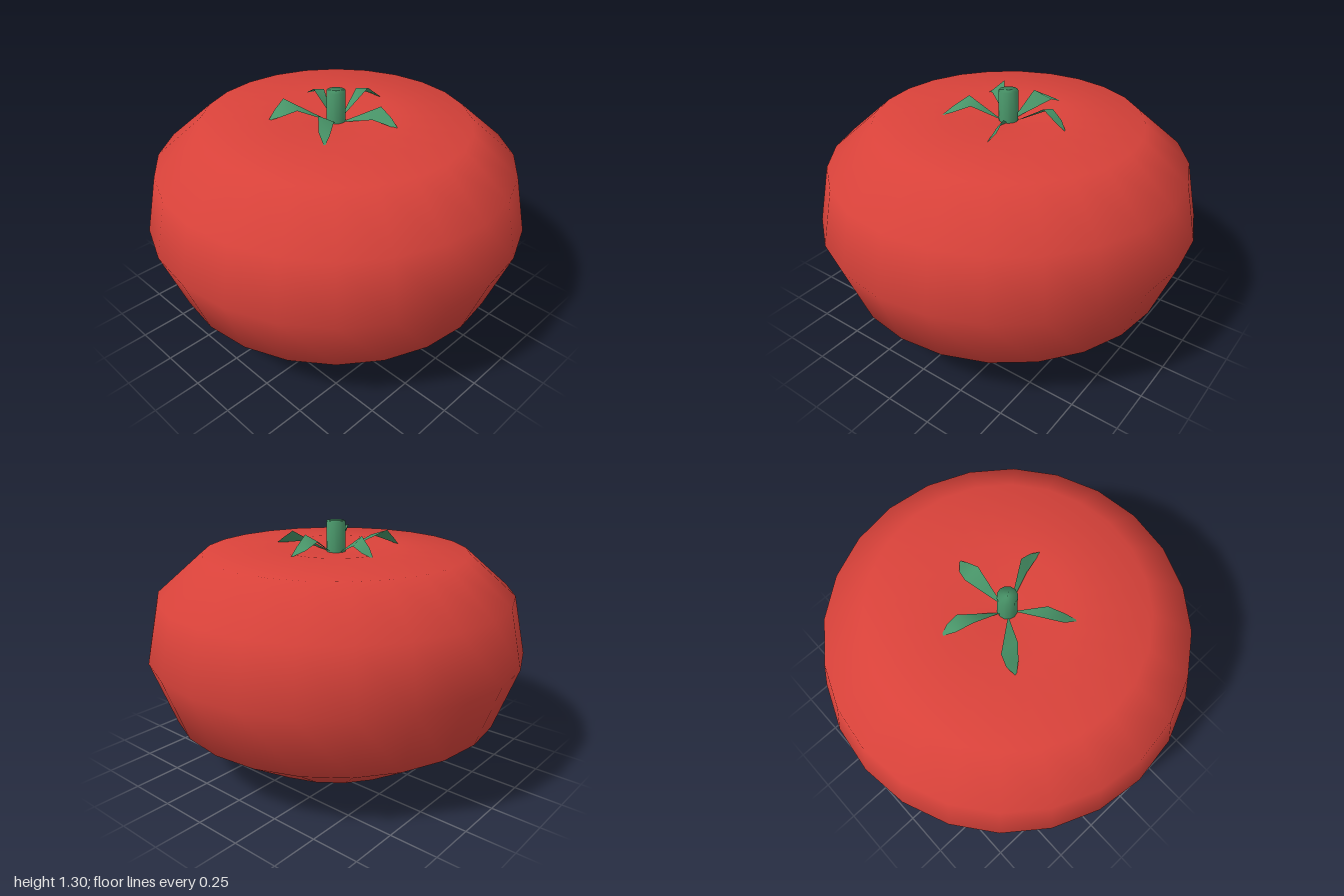
import * as THREE from 'three';

const red = new THREE.MeshStandardMaterial({ color: 0xd9423a });
red.name = 'tomatoRed';
const green = new THREE.MeshStandardMaterial({ color: 0x489468, side: THREE.DoubleSide });
green.name = 'stemGreen';

// Smooth solid of revolution from [radius, height] pairs, bottom to top
function lathe(name, profile, sides, material) {
  const points = profile.map(([r, y]) => new THREE.Vector2(r, y));
  const mesh = new THREE.Mesh(new THREE.LatheGeometry(points, sides), material);
  mesh.name = name;
  return mesh;
}

// Arched blade along +x; a and b are its two widest edge points [reach, side, height]
function sepal(a, b) {
  const root = [0.03, 0, 1.14];
  const tip = [0.345, 0, 1.165];
  const mix = (p, q, t) => p.map((v, i) => v + (q[i] - v) * t);
  const bulge = (p, t, f) => {
    const m = mix(p, tip, t);
    return [m[0], p[1] * f, m[2]];
  };
  const rows = [
    [mix(root, a, 0.1), mix(root, b, 0.1)],
    [mix(root, a, 0.5), mix(root, b, 0.5)],
    [a, b],
    [bulge(a, 0.55, 0.7), bulge(b, 0.55, 0.7)],
    [tip, tip],
  ];
  const positions = [];
  const index = [];
  rows.forEach((row, i) => {
    row.forEach(([r, s, y]) => positions.push(r, y, -s));
    if (i < rows.length - 1) {
      const k = i * 2;
      index.push(k, k + 1, k + 2);
      if (i < rows.length - 2) index.push(k + 1, k + 3, k + 2);
    }
  });
  const geometry = new THREE.BufferGeometry();
  geometry.setAttribute('position', new THREE.Float32BufferAttribute(positions, 3));
  geometry.setIndex(index);
  geometry.computeVertexNormals();
  return geometry;
}

export function createModel() {
  const model = new THREE.Group();
  model.name = 'tomato';

  // Squat fruit with a shallow dimple around the stem
  model.add(lathe('fruit', [
    [0, 0], [0.11, 0], [0.545, 0.08], [0.88, 0.305], [1, 0.64],
    [0.935, 0.945], [0.695, 1.153], [0.31, 1.172], [0, 1.14],
  ], 24, red));

  // Short stem
  model.add(lathe('stem', [[0.05, 1.12], [0.05, 1.305], [0, 1.305]], 12, green));

  // Five sepals, each twisted a little differently
  const edges = [
    [[0.22, 0.07, 1.235], [0.22, -0.015, 1.26]],
    [[0.19, 0.035, 1.25], [0.24, -0.05, 1.215]],
    [[0.2, 0.025, 1.22], [0.26, -0.06, 1.255]],
    [[0.19, 0.02, 1.225], [0.2, -0.055, 1.255]],
    [[0.225, 0.05, 1.245], [0.2, 0.005, 1.185]],
  ];
  const calyx = new THREE.Group();
  calyx.name = 'calyx';
  edges.forEach(([a, b], i) => {
    const mesh = new THREE.Mesh(sepal(a, b), green);
    mesh.name = 'sepal' + (i + 1);
    mesh.rotation.y = (i * Math.PI * 2) / 5;
    calyx.add(mesh);
  });
  model.add(calyx);
  return model;
}
